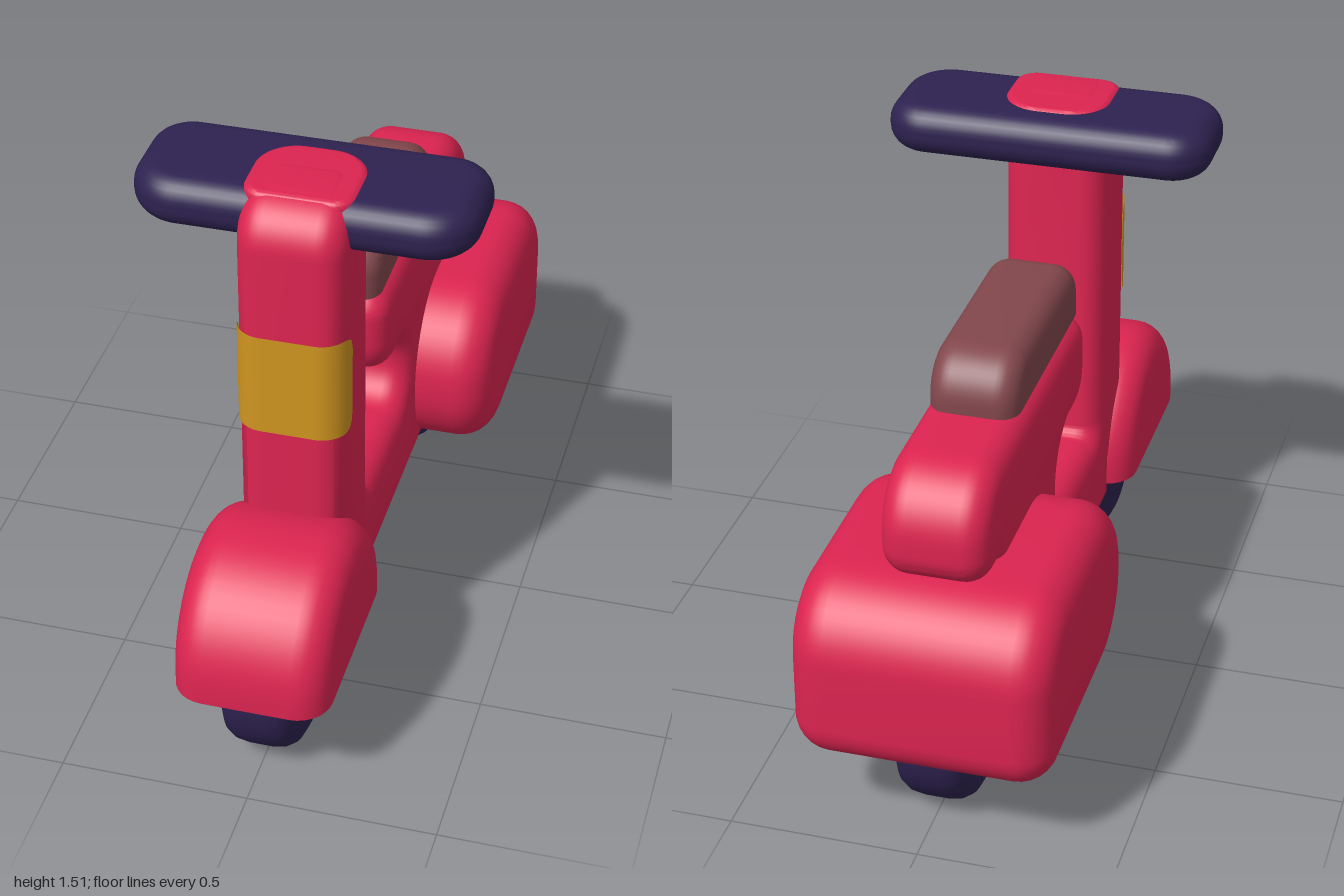
import * as THREE from 'three';
import { toCreasedNormals } from 'three/addons/utils/BufferGeometryUtils.js';

const material = (name, color, side = THREE.FrontSide) => {
  const m = new THREE.MeshStandardMaterial({ color, side });
  m.name = name;
  return m;
};

// Closed outline from corners [a, b, rounding]
function roundedShape(corners) {
  const shape = new THREE.Shape();
  const n = corners.length;
  const toward = (p, q, d) => {
    const l = Math.hypot(q[0] - p[0], q[1] - p[1]);
    return [p[0] + ((q[0] - p[0]) * d) / l, p[1] + ((q[1] - p[1]) * d) / l];
  };
  corners.forEach((p, i) => {
    const prev = corners[(i + n - 1) % n], next = corners[(i + 1) % n], r = p[2] || 0;
    const start = toward(p, prev, r);
    if (i === 0) shape.moveTo(...start);
    else shape.lineTo(...start);
    if (r) shape.bezierCurveTo(...toward(p, prev, r * 0.45), ...toward(p, next, r * 0.45), ...toward(p, next, r));
  });
  shape.closePath();
  return shape;
}

// Soft-edged slab, centred along its thickness
function slab(corners, half, bevel) {
  const geo = new THREE.ExtrudeGeometry(roundedShape(corners), {
    depth: 2 * (half - bevel), curveSegments: 14,
    bevelThickness: bevel, bevelSize: bevel, bevelOffset: -bevel, bevelSegments: 7,
  });
  return geo.translate(0, 0, bevel - half);
}

// Side profile (z, y) widened along x, optionally cut flat at a floor height
function sideSlab(corners, half, bevel, floor = -1) {
  const geo = slab(corners, half, bevel).rotateY(-Math.PI / 2);
  const p = geo.attributes.position;
  for (let i = 0; i < p.count; i++) p.setY(i, Math.max(p.getY(i), floor));
  return toCreasedNormals(geo, 0.7);
}

// Plan outline (x, z) thickened along y
const planSlab = (corners, half, bevel) =>
  toCreasedNormals(slab(corners, half, bevel).rotateX(Math.PI / 2), 0.7);

// Lamp lens: a rounded panel wrapped around the front of the column
function lampGeometry() {
  const flat = 0.07, r = 0.076, end = 0.2, halfH = 0.143, corner = 0.05;
  const geo = new THREE.PlaneGeometry(2 * end, 2, 48, 4);
  const p = geo.attributes.position;
  for (let i = 0; i < p.count; i++) {
    const u = p.getX(i), s = Math.abs(u), v = p.getY(i);
    const a = Math.min(Math.max(s - flat, 0) / r, Math.PI / 2);
    const past = Math.max(s - flat - (r * Math.PI) / 2, 0);
    const x = Math.min(s, flat) + r * Math.sin(a);
    const z = 0.51 + r * Math.cos(a) - past;
    const d = Math.max(s - (end - corner), 0);
    const h = halfH - corner + Math.sqrt(Math.max(corner * corner - d * d, 0));
    p.setXYZ(i, Math.sign(u) * x, 1.007 + v * h, z);
  }
  geo.computeVertexNormals();
  return geo;
}

export function createModel() {
  const red = material('red paint', 0xdc2450);
  const navy = material('dark rubber', 0x2e2250);
  const brown = material('seat leather', 0x82474c);
  const amber = material('amber lamp', 0xcf9420, THREE.DoubleSide);
  const white = material('pale hub', 0xdcd4dc);

  const model = new THREE.Group();
  model.name = 'scooter';
  const add = (name, geo, mat, parent = model) => {
    const mesh = new THREE.Mesh(geo, mat);
    mesh.name = name;
    parent.add(mesh);
    return mesh;
  };

  // Steering column, footboard and seat base in one continuous profile
  add('frame', sideSlab([
    [0.58, 1.515, 0.13], [0.29, 1.515, 0.08], [0.29, 0.51, 0.035],
    [-0.13, 0.51, 0.108], [-0.13, 0.73, 0.108], [0.15, 0.73, 0.12],
    [0.15, 1.0, 0.075], [-0.85, 1.0, 0.18], [-0.85, 0.70, 0.09],
    [-0.72, 0.70], [-0.62, 0.35], [-0.4, 0.22, 0.05],
    [0.45, 0.22], [0.45, 0.36], [0.58, 0.45],
  ], 0.14, 0.07), red);

  // Front fender and rear cowl
  add('frontFender', sideSlab([
    [1.0, 0.18], [1.0, 0.635, 0.3], [0.39, 0.635, 0.3], [0.39, 0.18],
  ], 0.205, 0.09, 0.3), red);
  add('rearCowl', sideSlab([
    [-0.2, 0.225, 0.235], [-0.2, 0.72, 0.235], [-1.0, 0.72, 0.21], [-1.0, 0.225, 0.11],
  ], 0.34, 0.1), red);

  // Seat
  add('seat', sideSlab([
    [0.15, 0.9], [0.15, 1.15, 0.09], [-0.5, 1.15, 0.13], [-0.5, 0.9],
  ], 0.118, 0.06, 0.998), brown);

  // Handlebar with the head of the column showing through it
  add('handlebar', planSlab([
    [0.44, 0.51, 0.13], [-0.44, 0.51, 0.13], [-0.44, 0.16, 0.11], [0.44, 0.16, 0.11],
  ], 0.068, 0.062), navy).position.y = 1.438;
  add('steeringHead', planSlab([
    [0.145, 0.5, 0.06], [-0.145, 0.5, 0.06], [-0.145, 0.245, 0.11], [0.145, 0.245, 0.11],
  ], 0.05, 0.02), red).position.y = 1.463;

  add('headlamp', lampGeometry(), amber);

  // Wheels with domed hubs on both sides
  const tyre = [
    [0, -0.1], [0.15, -0.1], [0.195, -0.097], [0.22, -0.085], [0.235, -0.062], [0.24, -0.03],
    [0.24, 0.03], [0.235, 0.062], [0.22, 0.085], [0.195, 0.097], [0.15, 0.1], [0, 0.1],
  ].map(([r, x]) => new THREE.Vector2(r, x));
  const tyreGeo = new THREE.LatheGeometry(tyre, 48).rotateZ(Math.PI / 2);
  const hubGeo = new THREE.SphereGeometry(0.077, 24, 16);
  for (const [name, z] of [['frontWheel', 0.7], ['rearWheel', -0.675]]) {
    const wheel = new THREE.Group();
    wheel.name = name;
    wheel.position.set(0, 0.24, z);
    add('tyre', tyreGeo, navy, wheel);
    for (const side of [-1, 1]) add('hub', hubGeo, white, wheel).position.x = side * 0.064;
    model.add(wheel);
  }
  return model;
}
